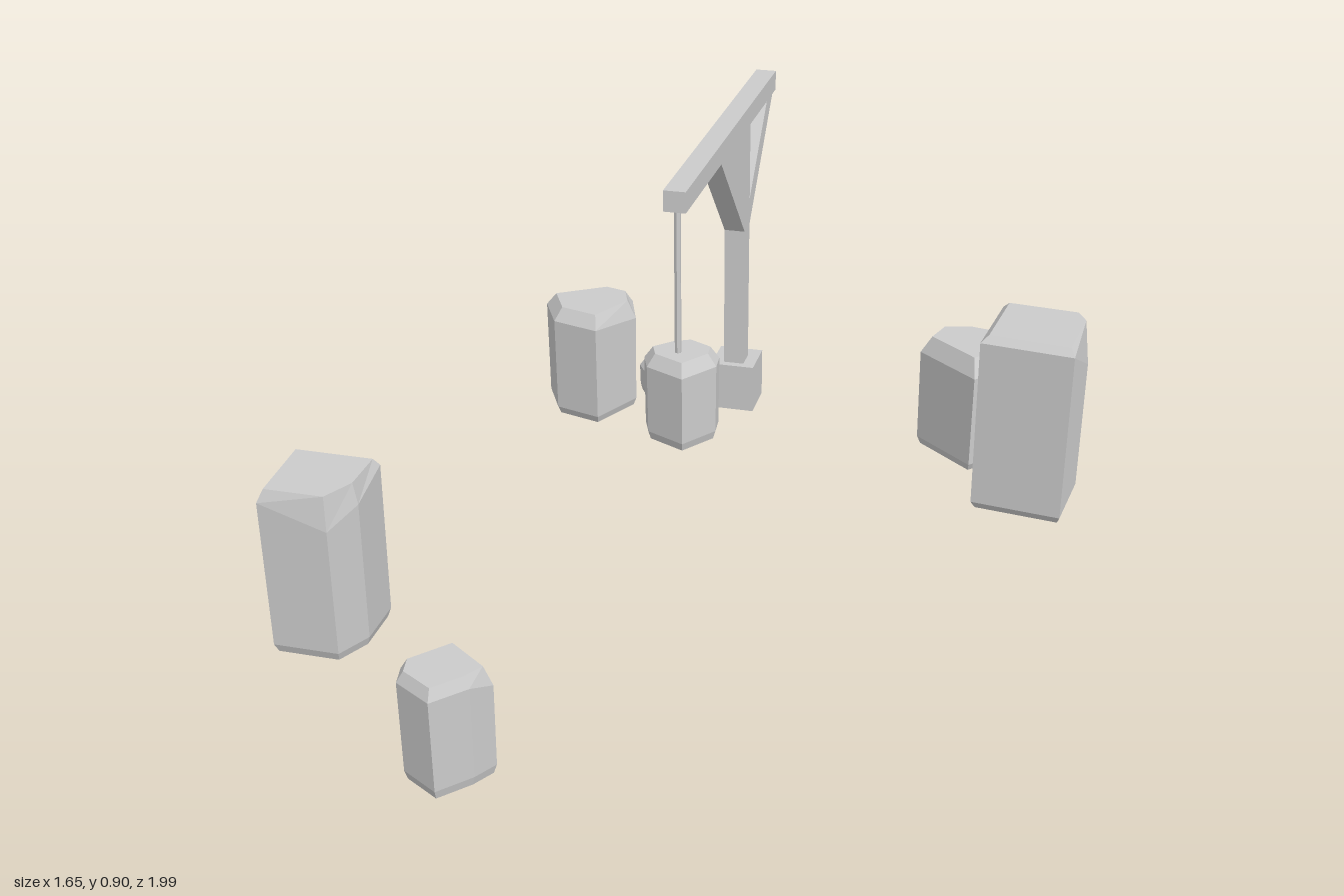
import * as THREE from 'three';

const mat = new THREE.MeshStandardMaterial({ color: 0xcccccc, flatShading: true });
const X = -0.084; // centre line of the hoist
const POST_Z = -0.68;

// Each rock: base height, top height, bevel, top scale, and its outline seen from
// above as clockwise corners [x, z, extra shoulder drop].
const ROCKS = [
  { name: 'rearRightRock', y0: 0, y1: 0.31, bevel: 0.035, top: 0.8,
    corners: [[-0.63, -0.76], [-0.48, -0.855], [-0.41, -0.835], [-0.38, -0.76, 0.015], [-0.45, -0.62], [-0.575, -0.655]] },
  { name: 'rearSmallRock', y0: 0.005, y1: 0.1, bevel: 0.02, top: 0.78,
    corners: [[-0.395, -0.845], [-0.33, -0.925], [-0.29, -0.905], [-0.27, -0.855], [-0.32, -0.795], [-0.37, -0.805]] },
  { name: 'rearLeftRock', y0: 0, y1: 0.31, bevel: 0.045, top: 0.78,
    corners: [[0.395, -0.725], [0.425, -0.815], [0.51, -0.835], [0.615, -0.815], [0.63, -0.68], [0.55, -0.595]] },
  { name: 'tallLeftRock', y0: 0, y1: 0.47, bevel: 0.018, top: 0.87,
    corners: [[0.575, -0.41], [0.605, -0.64], [0.8, -0.62, 0.03], [0.825, -0.57, 0.1], [0.8, -0.38]] },
  { name: 'tallRightRock', y0: 0, y1: 0.405, bevel: 0.02, top: 0.88,
    corners: [[-0.83, 0.39], [-0.625, 0.39], [-0.625, 0.515, 0.03], [-0.665, 0.595, 0.06], [-0.82, 0.595, 0.01]] },
  { name: 'frontRock', y0: 0, y1: 0.255, bevel: 0.025, top: 0.82,
    corners: [[-0.385, 0.89], [-0.305, 0.8], [-0.2, 0.875, 0.02], [-0.23, 0.925], [-0.29, 0.99], [-0.375, 0.94]] },
  { name: 'hangingRock', y0: 0.28, y1: 0.497, bevel: 0.03, top: 0.76,
    corners: [[-0.17, -0.11], [-0.12, -0.16], [-0.07, -0.185], [0, -0.15], [0.005, -0.1], [-0.055, -0.015], [-0.15, -0.06]] },
];

// Faceted stone: four rings (foot, lower edge, shoulder, crown) joined and capped.
function rock({ name, y0, y1, bevel, top, corners }) {
  const n = corners.length;
  const cx = corners.reduce((s, c) => s + c[0], 0) / n;
  const cz = corners.reduce((s, c) => s + c[1], 0) / n;
  const ring = (scale, height) => corners.map(([x, z, drop = 0]) =>
    [cx + (x - cx) * scale, height(drop), cz + (z - cz) * scale]);
  const rings = [
    ring(0.91, () => y0),
    ring(0.98, () => y0 + Math.min(0.02, bevel)),
    ring(1, (drop) => y1 - bevel - drop),
    ring(top, () => y1),
  ];
  const pos = [];
  const tri = (a, b, c) => pos.push(...a, ...b, ...c);
  for (let i = 0; i < n; i++) {
    const j = (i + 1) % n;
    for (let k = 0; k < 3; k++) {
      const lo = rings[k], hi = rings[k + 1];
      tri(lo[j], lo[i], hi[i]);
      tri(lo[j], hi[i], hi[j]);
    }
    tri([cx, y1, cz], rings[3][j], rings[3][i]);
    tri([cx, y0, cz], rings[0][i], rings[0][j]);
  }
  const geo = new THREE.BufferGeometry();
  geo.setAttribute('position', new THREE.Float32BufferAttribute(pos, 3));
  geo.computeVertexNormals();
  const mesh = new THREE.Mesh(geo, mat);
  mesh.name = name;
  return mesh;
}

function box(name, w, h, d, y, z) {
  const mesh = new THREE.Mesh(new THREE.BoxGeometry(w, h, d), mat);
  mesh.position.set(X, y, z);
  mesh.name = name;
  return mesh;
}

// Slanted strut with ends cut flush against post and beam; side is +1 front, -1 rear.
function brace(name, side) {
  const pts = [[0, 0.58], [0.255, 0.85], [0.19, 0.85], [0, 0.65]];
  const shape = new THREE.Shape(pts.map(([d, y]) =>
    new THREE.Vector2(-(POST_Z + side * (0.026 + d)), y)));
  const geo = new THREE.ExtrudeGeometry(shape, { depth: 0.052, bevelEnabled: false });
  geo.translate(0, 0, -0.026);
  geo.rotateY(Math.PI / 2); // shape x becomes -z
  const mesh = new THREE.Mesh(geo, mat);
  mesh.position.x = X;
  mesh.name = name;
  return mesh;
}

export function createModel() {
  const model = new THREE.Group();
  model.name = 'stonesAndHoist';

  const hoist = new THREE.Group();
  hoist.name = 'hoist';
  hoist.add(
    box('footBlock', 0.112, 0.126, 0.112, 0.148, -0.69),
    box('post', 0.052, 0.66, 0.054, 0.53, POST_Z),
    box('beam', 0.052, 0.05, 0.93, 0.873, -0.535),
    brace('frontBrace', 1),
    brace('rearBrace', -1),
  );

  // Rope from the beam down to the hanging stone
  const rope = new THREE.Mesh(new THREE.CylinderGeometry(0.008, 0.008, 0.37, 6), mat);
  rope.position.set(X, 0.675, -0.094);
  rope.name = 'rope';
  hoist.add(rope);

  model.add(hoist, ...ROCKS.map(rock));
  return model;
}
